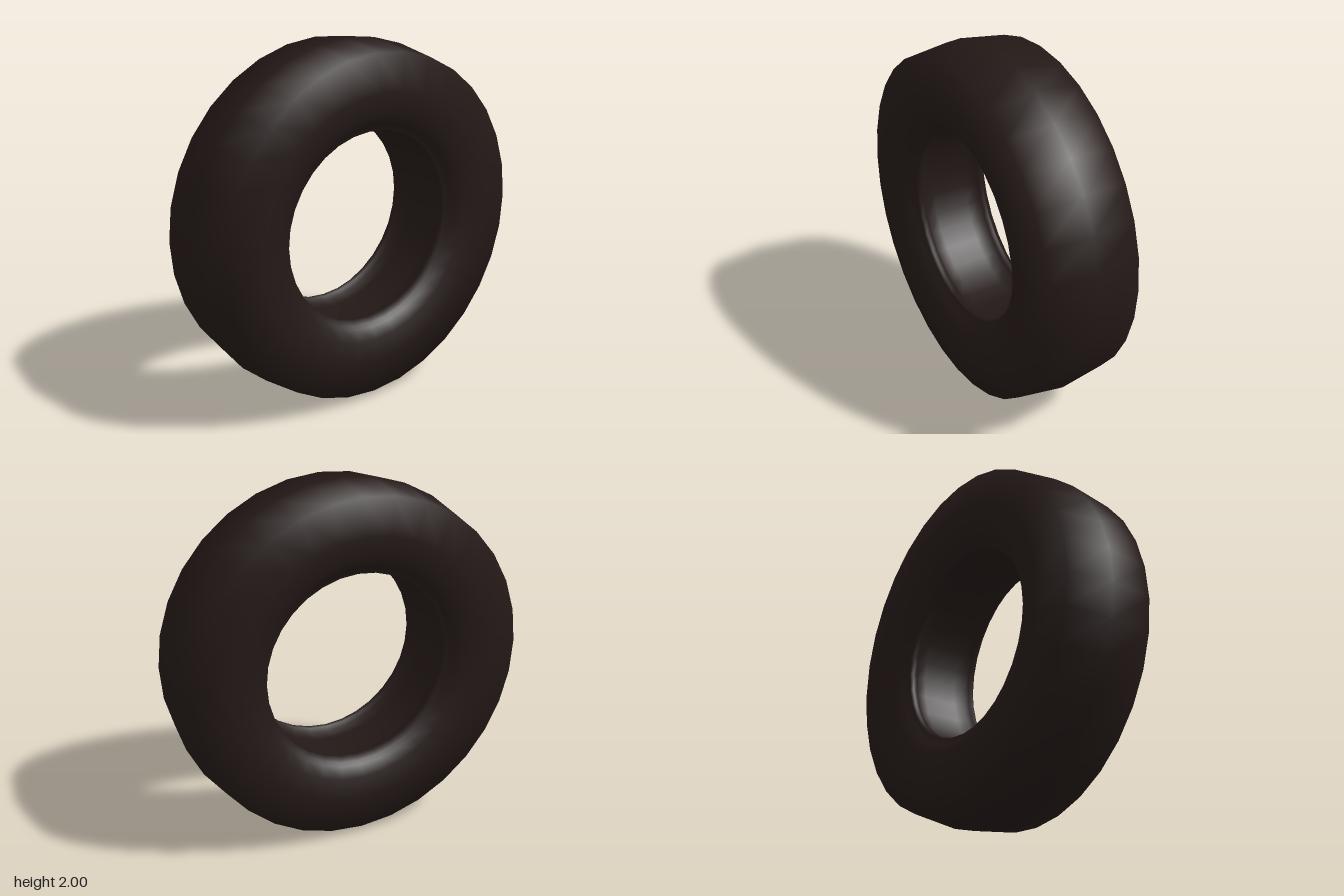
import * as THREE from 'three';

export function createModel() {
  const group = new THREE.Group();
  group.name = 'tyre';
  const rubber = new THREE.MeshStandardMaterial({ color: 0x231917, side: THREE.DoubleSide });

  // Half section as [radius, offset from the centre plane]: tread, shoulder, sidewall, bead, inner wall
  const half = [
    [1.0, 0], [0.965, 0.265], [0.76, 0.3], [0.64, 0.28], [0.58, 0.245],
    [0.565, 0.22], [0.545, 0.22], [0.533, 0.205], [0.535, 0.18], [0.56, 0.165], [0.57, 0.1], [0.57, 0],
  ];

  // Mirror the half section into a closed loop with its seam on the inner wall
  const mirrored = half.slice(1).reverse().map(([r, x]) => new THREE.Vector2(r, -x));
  const section = [...mirrored, ...half.map(([r, x]) => new THREE.Vector2(r, x))];

  // Spin the section and lay the axle along x
  const geometry = new THREE.LatheGeometry(section, 32);
  geometry.rotateZ(Math.PI / 2);
  geometry.translate(0, 1, 0);

  const tyre = new THREE.Mesh(geometry, rubber);
  tyre.name = 'tyreCarcass';
  group.add(tyre);
  return group;
}
